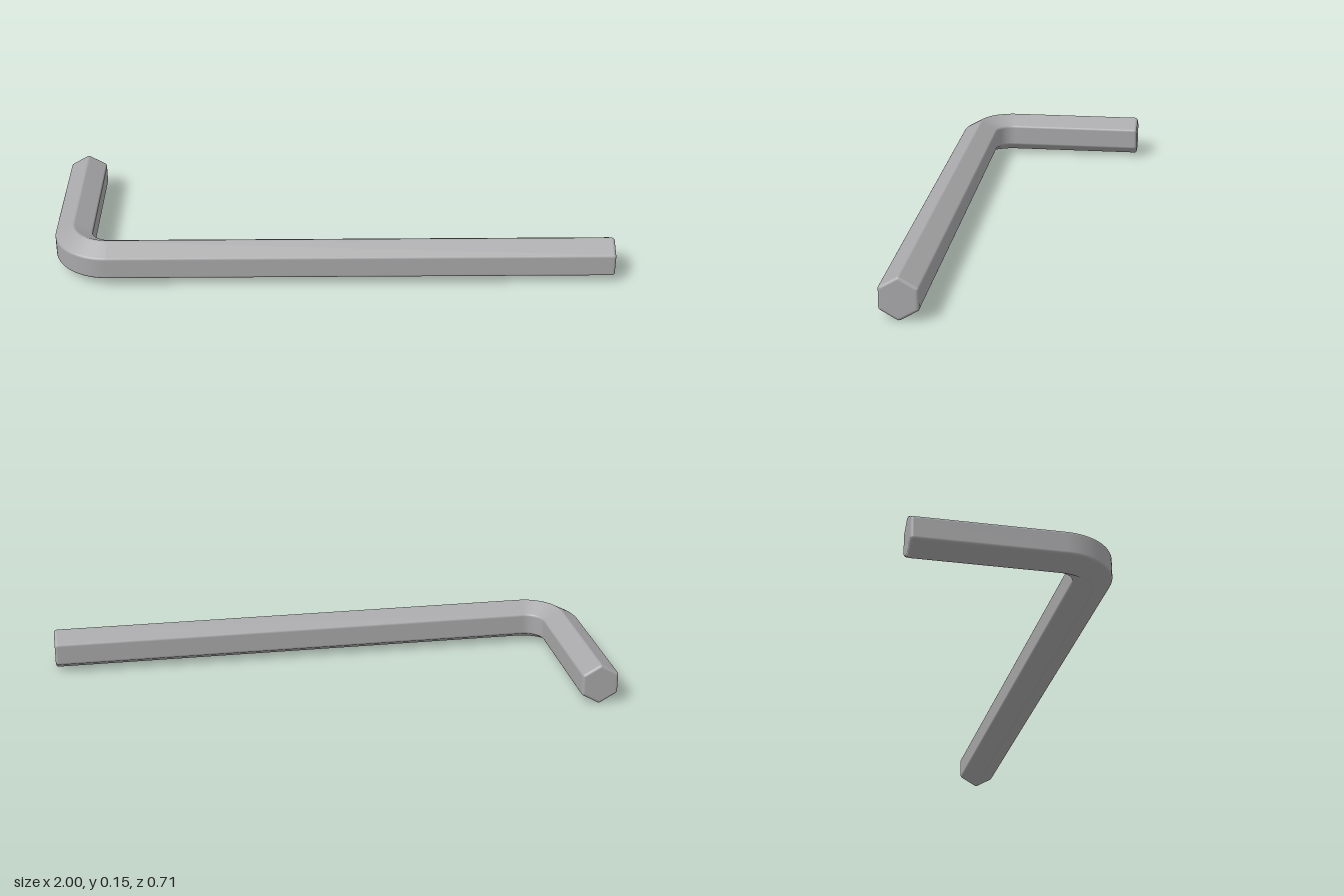
import * as THREE from 'three';

const APOTHEM = 0.0667;  // half the width across flats
const ROUND = 0.011;     // rounding of the long edges and the ends
const BEND_R = 0.1335;   // centreline radius of the bend
const BEND = new THREE.Vector3(-0.8, 0.0755, 0.155); // bend centre
const ARC = 4;           // steps around each rounded edge

// Rounded hexagon: core corner plus outward direction for each point
function hexSection() {
  const points = [];
  const coreR = (APOTHEM - ROUND) / Math.cos(Math.PI / 6);
  for (let k = 0; k < 6; k++) {
    const corner = (k + 0.5) * Math.PI / 3;
    for (let i = 0; i <= ARC; i++) {
      const a = (k + i / ARC) * Math.PI / 3;
      points.push({ cx: coreR * Math.cos(corner), cy: coreR * Math.sin(corner), nx: Math.cos(a), ny: Math.sin(a) });
    }
  }
  return points;
}

// Stations along the bar: centre, heading, end-rounding angle, core scale
function barStations() {
  const stations = [];
  const add = (p, heading, tilt = 0, core = 1) => stations.push({ p, heading, tilt, core });
  const shortEnd = new THREE.Vector3(BEND.x - BEND_R, BEND.y, -0.355 + ROUND);
  const longEnd = new THREE.Vector3(1 - ROUND, BEND.y, BEND.z + BEND_R);
  const q = Math.PI / 2;
  add(shortEnd, 0, -q, 0);
  for (let i = 0; i <= 4; i++) add(shortEnd, 0, -q * (1 - i / 4));
  for (let i = 0; i <= 20; i++) {
    const h = q * i / 20;
    add(new THREE.Vector3(BEND.x - BEND_R * Math.cos(h), BEND.y, BEND.z + BEND_R * Math.sin(h)), h);
  }
  for (let i = 0; i <= 4; i++) add(longEnd, q, q * i / 4);
  add(longEnd, q, q, 0);
  return stations;
}

function barGeometry() {
  const section = hexSection(), stations = barStations(), n = section.length;
  const pos = [], nor = [], index = [];
  const up = new THREE.Vector3(0, 1, 0);
  stations.forEach(({ p, heading, tilt, core }, s) => {
    const along = new THREE.Vector3(Math.sin(heading), 0, Math.cos(heading));
    const side = new THREE.Vector3(Math.cos(heading), 0, -Math.sin(heading));
    section.forEach(({ cx, cy, nx, ny }, j) => {
      const normal = new THREE.Vector3()
        .addScaledVector(side, nx * Math.cos(tilt))
        .addScaledVector(up, ny * Math.cos(tilt))
        .addScaledVector(along, Math.sin(tilt));
      const v = p.clone()
        .addScaledVector(side, cx * core)
        .addScaledVector(up, cy * core)
        .addScaledVector(normal, ROUND);
      pos.push(v.x, v.y, v.z);
      nor.push(normal.x, normal.y, normal.z);
      if (s < stations.length - 1) {
        const a = s * n + j, b = s * n + (j + 1) % n;
        index.push(a, b, b + n, a, b + n, a + n);
      }
    });
  });
  const geo = new THREE.BufferGeometry();
  geo.setAttribute('position', new THREE.Float32BufferAttribute(pos, 3));
  geo.setAttribute('normal', new THREE.Float32BufferAttribute(nor, 3));
  geo.setIndex(index);
  return geo;
}

export function createModel() {
  const steel = new THREE.MeshStandardMaterial({ color: 0xa8a8aa });
  steel.name = 'steel grey';
  const group = new THREE.Group();
  group.name = 'hexKey';
  // One continuous bent bar: short arm, bend and long arm
  const bar = new THREE.Mesh(barGeometry(), steel);
  bar.name = 'bentHexBar';
  group.add(bar);
  return group;
}
